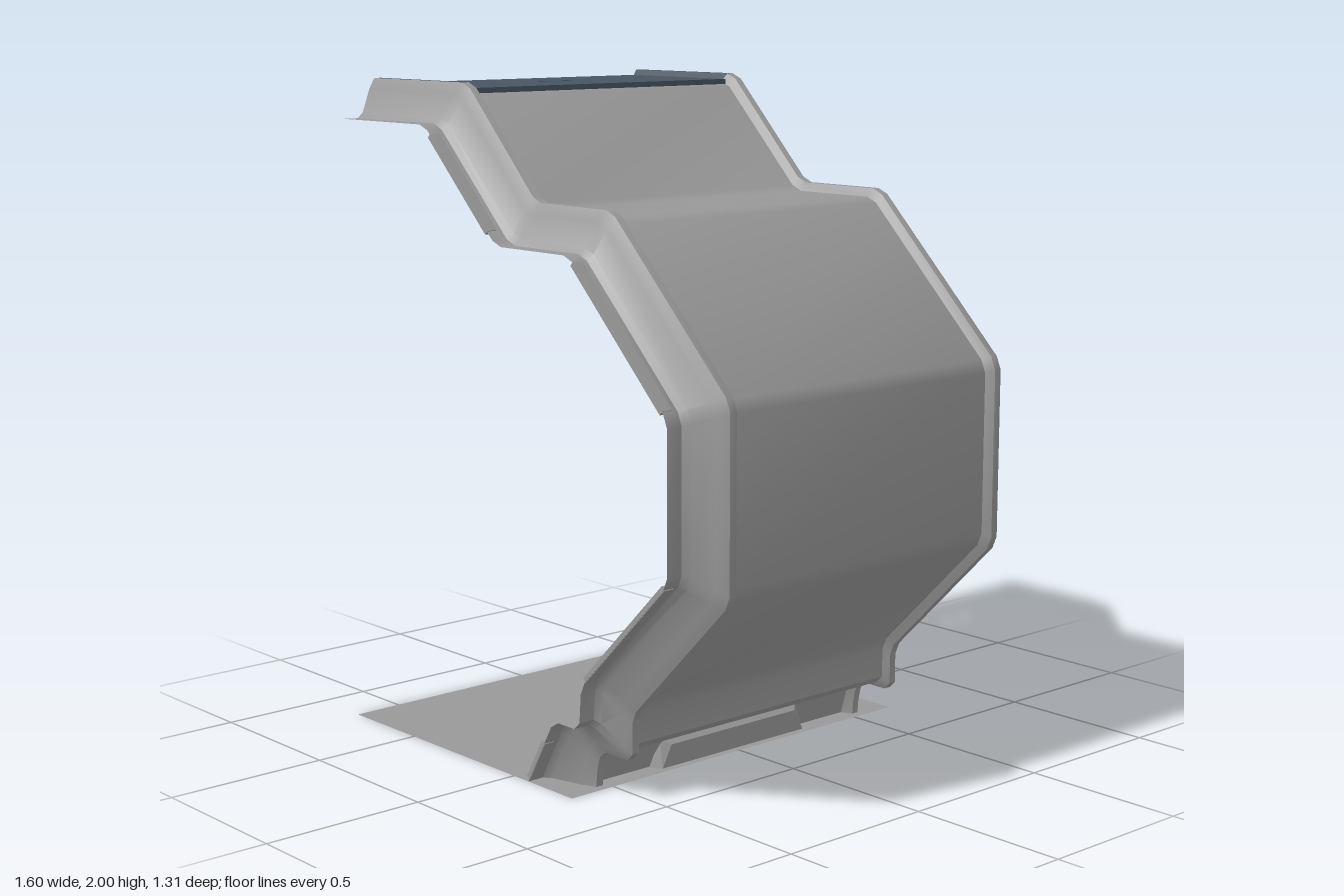
import * as THREE from 'three';
import { toCreasedNormals } from 'three/addons/utils/BufferGeometryUtils.js';

const grey = new THREE.MeshStandardMaterial({ color: 0x999999, side: THREE.DoubleSide });
grey.name = 'wallGrey';
const slate = new THREE.MeshStandardMaterial({ color: 0x485560, side: THREE.DoubleSide });
slate.name = 'ceilingSlate';

// Wall profile: crest of the ribs (OUTER) and foot of the flanges (INNER)
const OUTER = [[-0.8, 2], [-0.33, 2], [-0.01, 1.672], [0.32, 1.672], [0.8, 1.195], [0.8, 0.65],
  [0.4, 0.25], [0.4, 0.115], [0.265, 0.115], [0.245, 0.06], [0.24, 0]];
const INNER = [[-0.8, 1.88], [-0.385, 1.88], [-0.05, 1.552], [0.275, 1.552], [0.68, 1.15], [0.68, 0.7],
  [0.315, 0.34], [0.305, 0.21], [0.19, 0.21], [0.15, 0.14], [0.07, 0]];

// Section across the width: [z, depth between crest (0) and flange foot (1)]
const HALF = [[-0.657, 1], [-0.605, 1], [-0.586, 0.86], [-0.56, 0.28], [-0.541, 0],
  [-0.517, 0], [-0.502, 0.21]];
const SECTION = [...HALF, ...HALF.map(([z, t]) => [-z, t]).reverse()];

// Replace each corner by two points a short way along its edges
function chamfer(points, cut) {
  const v = points.map(p => new THREE.Vector2(...p));
  const out = [v[0]];
  for (let i = 1; i < v.length - 1; i++) {
    for (const n of [v[i - 1], v[i + 1]]) {
      const dir = n.clone().sub(v[i]);
      const len = dir.length();
      out.push(v[i].clone().addScaledVector(dir.normalize(), Math.min(cut, len * 0.3)));
    }
  }
  out.push(v[v.length - 1]);
  return out;
}

// Skin of the cells accepted by keep(row, column)
function skin(keep) {
  const outer = chamfer(OUTER, 0.022), inner = chamfer(INNER, 0.022);
  const at = (i, j) => {
    const [z, t] = SECTION[j];
    const p = outer[i].clone().lerp(inner[i], t);
    return [p.x, p.y, z];
  };
  const pos = [];
  for (let i = 0; i < outer.length - 1; i++) {
    for (let j = 0; j < SECTION.length - 1; j++) {
      if (!keep(i, j)) continue;
      const a = at(i, j), b = at(i, j + 1), c = at(i + 1, j + 1), d = at(i + 1, j);
      pos.push(...a, ...b, ...c, ...a, ...c, ...d);
    }
  }
  const g = new THREE.BufferGeometry();
  g.setAttribute('position', new THREE.Float32BufferAttribute(pos, 3));
  return toCreasedNormals(g, 0.55);
}

export function createModel() {
  const group = new THREE.Group();
  const add = (name, geometry, material) => {
    const mesh = new THREE.Mesh(geometry, material);
    mesh.name = name;
    group.add(mesh);
    return mesh;
  };

  // Wall with its ribs and flanges; the ceiling run between the ribs is slate
  const middle = 6;
  const ceiling = (i, j) => i === 0 && j >= 4 && j <= 8;
  add('wall', skin((i, j) => !ceiling(i, j)), grey);
  add('ceilingRibs', skin((i, j) => ceiling(i, j) && j !== middle), slate);

  // Ceiling panel with two round holes
  const panel = new THREE.Shape([[-0.8, -0.503], [-0.345, -0.503], [-0.345, 0.503], [-0.8, 0.503]]
    .map(p => new THREE.Vector2(...p)));
  for (const z of [-0.043, 0.043]) {
    panel.holes.push(new THREE.Path().absarc(-0.58, z, 0.026, 0, Math.PI * 2, true));
  }
  const slab = new THREE.ExtrudeGeometry(panel, { depth: 0.025, bevelEnabled: false, curveSegments: 8 });
  slab.rotateX(-Math.PI / 2);
  add('ceilingPanel', slab, slate).position.y = 1.958;

  // Floor sheet
  const floor = new THREE.PlaneGeometry(1.07, 1.314).rotateX(-Math.PI / 2);
  add('floor', floor, grey).position.set(-0.265, 0.001, 0);

  // Thin pads under the flanges: [profile edge, start, end] along the edge
  for (const [k, s, e] of [[1, 0.08, 0.88], [3, 0.04, 0.95], [5, 0.04, 0.95], [9, 0.05, 0.94]]) {
    const p = new THREE.Vector2(...INNER[k]), q = new THREE.Vector2(...INNER[k + 1]);
    const a = p.clone().lerp(q, s), b = p.clone().lerp(q, e);
    const d = b.clone().sub(a);
    const mid = a.clone().add(b).multiplyScalar(0.5);
    const n = new THREE.Vector2(d.y, -d.x).normalize();
    mid.addScaledVector(n, 0.006);
    for (const side of [-1, 1]) {
      const pad = add('flangePad', new THREE.BoxGeometry(d.length(), 0.016, 0.034), grey);
      pad.position.set(mid.x, mid.y, side * 0.639);
      pad.rotation.z = Math.atan2(d.y, d.x);
    }
  }

  // Bevelled trapezoid vent at the base of the wall
  const trapezoid = (w, top) => [[-w, 0], [w, 0], [w - 0.035, top], [-w + 0.035, top]];
  const back = trapezoid(0.315, 0.088), face = trapezoid(0.29, 0.068);
  const pos = [];
  const quad = (a, b, c, d) => pos.push(...a, ...b, ...c, ...a, ...c, ...d);
  const B = back.map(([z, y]) => [0.212 + y * 0.1, y, -z]);
  const F = face.map(([z, y]) => [0.245, y, -z]);
  quad(...F);
  for (let i = 1; i < 4; i++) quad(B[i], B[(i + 1) % 4], F[(i + 1) % 4], F[i]);
  const vent = new THREE.BufferGeometry();
  vent.setAttribute('position', new THREE.Float32BufferAttribute(pos, 3));
  vent.computeVertexNormals();
  add('baseVent', vent, grey);

  return group;
}
